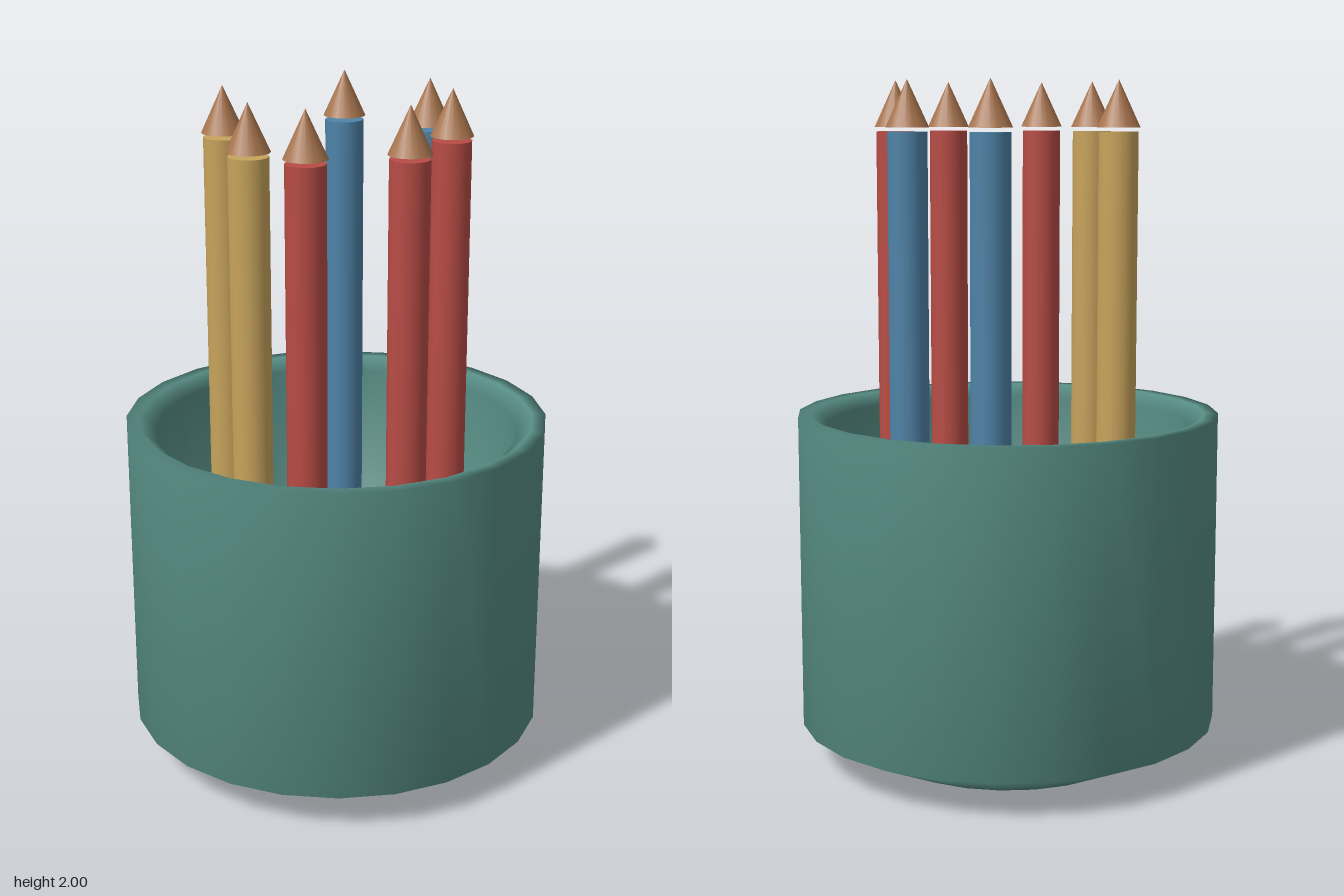
import * as THREE from 'three';

const material = (name, color) => {
  const m = new THREE.MeshStandardMaterial({ color });
  m.name = name;
  return m;
};

export function createModel() {
  const teal = material('teal glaze', 0x578d85);
  const red = material('red paint', 0xb84c45);
  const blue = material('blue paint', 0x4f83a8);
  const yellow = material('yellow paint', 0xc8a45c);
  const wood = material('wood', 0xa8754e);

  const group = new THREE.Group();
  group.name = 'pencilPot';

  // Hollow cup: base, chamfer, outer wall, rim, inner lip, inner wall, floor
  const profile = [
    [0, 0], [0.38, 0], [0.62, 0.11], [0.62, 1.035], [0.58, 1.035],
    [0.535, 1.0], [0.535, 0.1], [0, 0.1],
  ].map(([x, y]) => new THREE.Vector2(x, y));
  const cup = new THREE.Mesh(new THREE.LatheGeometry(profile, 24), teal);
  cup.name = 'cup';
  group.add(cup);

  // Pencils standing in a ring, each a shaft with a tip floating just above
  const bottom = 0.1, shaftTop = 1.854, tipBase = 1.866, tipTop = 2;
  const shaftGeometry = new THREE.CylinderGeometry(0.057, 0.057, shaftTop - bottom, 16);
  const tipGeometry = new THREE.ConeGeometry(0.062, tipTop - tipBase, 16);
  const pencils = [
    [0.325, 0, red], [0.195, 0.255, red], [-0.085, 0.31, red],
    [-0.24, 0.215, yellow], [-0.32, -0.057, yellow],
    [0.028, -0.322, blue], [0.272, -0.175, blue],
  ];
  for (const [x, z, paint] of pencils) {
    const pencil = new THREE.Group();
    pencil.name = 'pencil';
    pencil.position.set(x, 0, z);
    const shaft = new THREE.Mesh(shaftGeometry, paint);
    shaft.name = 'shaft';
    shaft.position.y = (bottom + shaftTop) / 2;
    const tip = new THREE.Mesh(tipGeometry, wood);
    tip.name = 'tip';
    tip.position.y = (tipBase + tipTop) / 2;
    pencil.add(shaft, tip);
    group.add(pencil);
  }
  return group;
}
